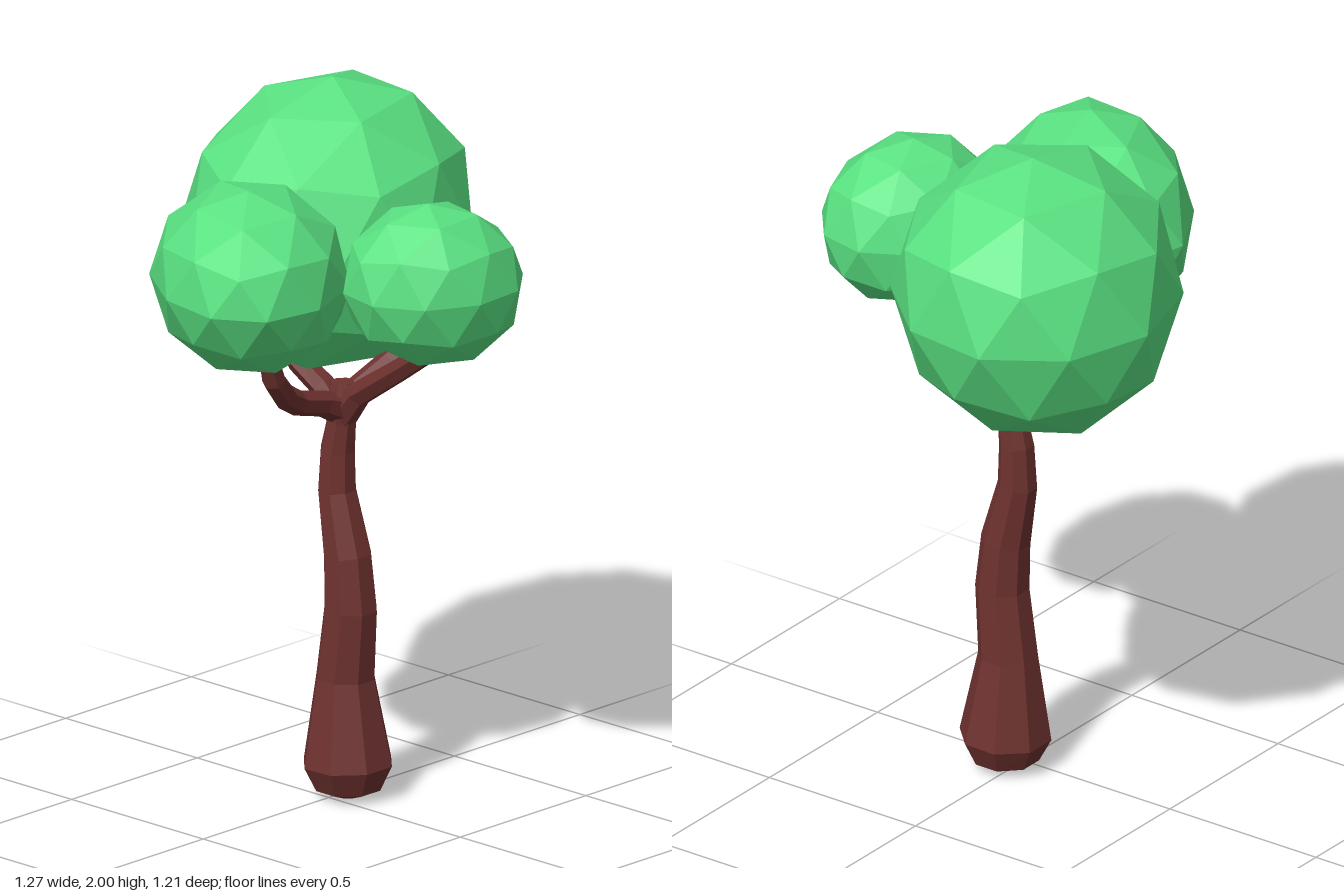
import * as THREE from 'three';

const bark = new THREE.MeshStandardMaterial({ color: 0x6e322f, flatShading: true });
const leaf = new THREE.MeshStandardMaterial({ color: 0x5ae282, flatShading: true });
const UP = new THREE.Vector3(0, 1, 0);

// Faceted limb: rings of given radius swept along [x, y, z, radius] stations, ends closed
function limb(name, stations, sides = 8) {
  const centres = stations.map(([x, y, z]) => new THREE.Vector3(x, y, z));
  const last = stations.length - 1;
  const pos = [], index = [];
  stations.forEach(([, , , r], i) => {
    const dir = centres[Math.min(i + 1, last)].clone().sub(centres[Math.max(i - 1, 0)]).normalize();
    const turn = new THREE.Quaternion().setFromUnitVectors(UP, dir);
    for (let s = 0; s < sides; s++) {
      const a = ((s + 0.5) / sides) * Math.PI * 2;
      const p = new THREE.Vector3(Math.sin(a) * r, 0, Math.cos(a) * r).applyQuaternion(turn).add(centres[i]);
      pos.push(p.x, p.y, p.z);
    }
  });
  for (let i = 0; i < last; i++) {
    for (let s = 0; s < sides; s++) {
      const a = i * sides + s, b = i * sides + ((s + 1) % sides);
      index.push(a, b, b + sides, a, b + sides, a + sides);
    }
  }
  for (let s = 1; s < sides - 1; s++) {
    index.push(0, s + 1, s);
    index.push(last * sides, last * sides + s, last * sides + s + 1);
  }
  const geo = new THREE.BufferGeometry();
  geo.setAttribute('position', new THREE.Float32BufferAttribute(pos, 3));
  geo.setIndex(index);
  geo.computeVertexNormals();
  const mesh = new THREE.Mesh(geo, bark);
  mesh.name = name;
  return mesh;
}

// Leaf clump: stretched low-poly icosphere. It leans in x with height and depth,
// tapers along x, and flares in x towards the top
function clump(name, centre, radii, { leanY = 0, leanZ = 0, taper = 0, flare = 0, yaw = 0 }) {
  const geo = new THREE.IcosahedronGeometry(1, 1);
  geo.rotateZ(-Math.atan(2 / (1 + Math.sqrt(5)))).rotateY(Math.PI);
  const p = geo.attributes.position;
  for (let i = 0; i < p.count; i++) {
    const girth = 1 + taper * p.getX(i);
    const y = p.getY(i) * radii[1] * girth, z = p.getZ(i) * radii[2] * girth;
    const x = p.getX(i) * radii[0] * (1 + flare * p.getY(i));
    p.setXYZ(i, x + leanY * y + leanZ * z, y, z);
  }
  geo.computeVertexNormals();
  const mesh = new THREE.Mesh(geo, leaf);
  mesh.position.set(...centre);
  mesh.rotation.y = yaw;
  mesh.name = name;
  return mesh;
}

export function createModel() {
  const tree = new THREE.Group();
  tree.name = 'tree';

  // Trunk with a swollen foot and a gentle sway in z
  tree.add(limb('trunk', [
    [0.05, 0.005, 0.025, 0.03], [0.05, 0.03, 0.025, 0.095], [0.05, 0.1, 0.025, 0.13],
    [0.05, 0.35, 0.016, 0.085], [0.05, 0.55, 0.036, 0.077], [0.05, 0.7, 0.024, 0.07],
    [0.05, 0.88, -0.016, 0.056], [0.05, 1.0, -0.013, 0.05], [0.05, 1.09, 0.002, 0.042],
    [0.05, 1.14, 0.005, 0.048], [0.05, 1.2, 0.005, 0.034],
  ]));

  // Four branches reaching into the crown
  tree.add(limb('rightBranch', [
    [0.05, 1.12, 0, 0.045], [-0.03, 1.155, 0.005, 0.037], [-0.14, 1.185, 0.015, 0.036],
    [-0.2, 1.22, 0.025, 0.036], [-0.26, 1.285, 0.04, 0.034], [-0.29, 1.36, 0.05, 0.028],
  ], 6));
  tree.add(limb('leftBranch', [
    [0.05, 1.12, 0, 0.045], [0.1, 1.175, 0.02, 0.036], [0.19, 1.235, 0.05, 0.035],
    [0.26, 1.29, 0.08, 0.034], [0.285, 1.36, 0.1, 0.026],
  ], 6));
  tree.add(limb('frontBranch', [
    [0.05, 1.1, 0, 0.045], [0.045, 1.18, 0.07, 0.037], [0.04, 1.28, 0.22, 0.034], [0.035, 1.39, 0.38, 0.03],
  ], 6));
  tree.add(limb('backBranch', [
    [0.05, 1.1, 0, 0.045], [0.05, 1.17, -0.07, 0.037], [0.05, 1.22, -0.16, 0.034], [0.06, 1.33, -0.28, 0.03],
  ], 6));

  // Crown
  tree.add(clump('largeLeaves', [0.195, 1.588, -0.19], [0.45, 0.412, 0.415], { leanY: 0.05, leanZ: -0.12, flare: 0.06 }));
  tree.add(clump('sideLeaves', [-0.315, 1.58, 0], [0.375, 0.275, 0.28],
    { leanY: -0.18, leanZ: -0.12, taper: 0.1, yaw: 0.68 }));
  tree.add(clump('frontLeaves', [0.022, 1.575, 0.375], [0.265, 0.235, 0.23], { leanY: -0.07, yaw: -0.2 }));
  return tree;
}
